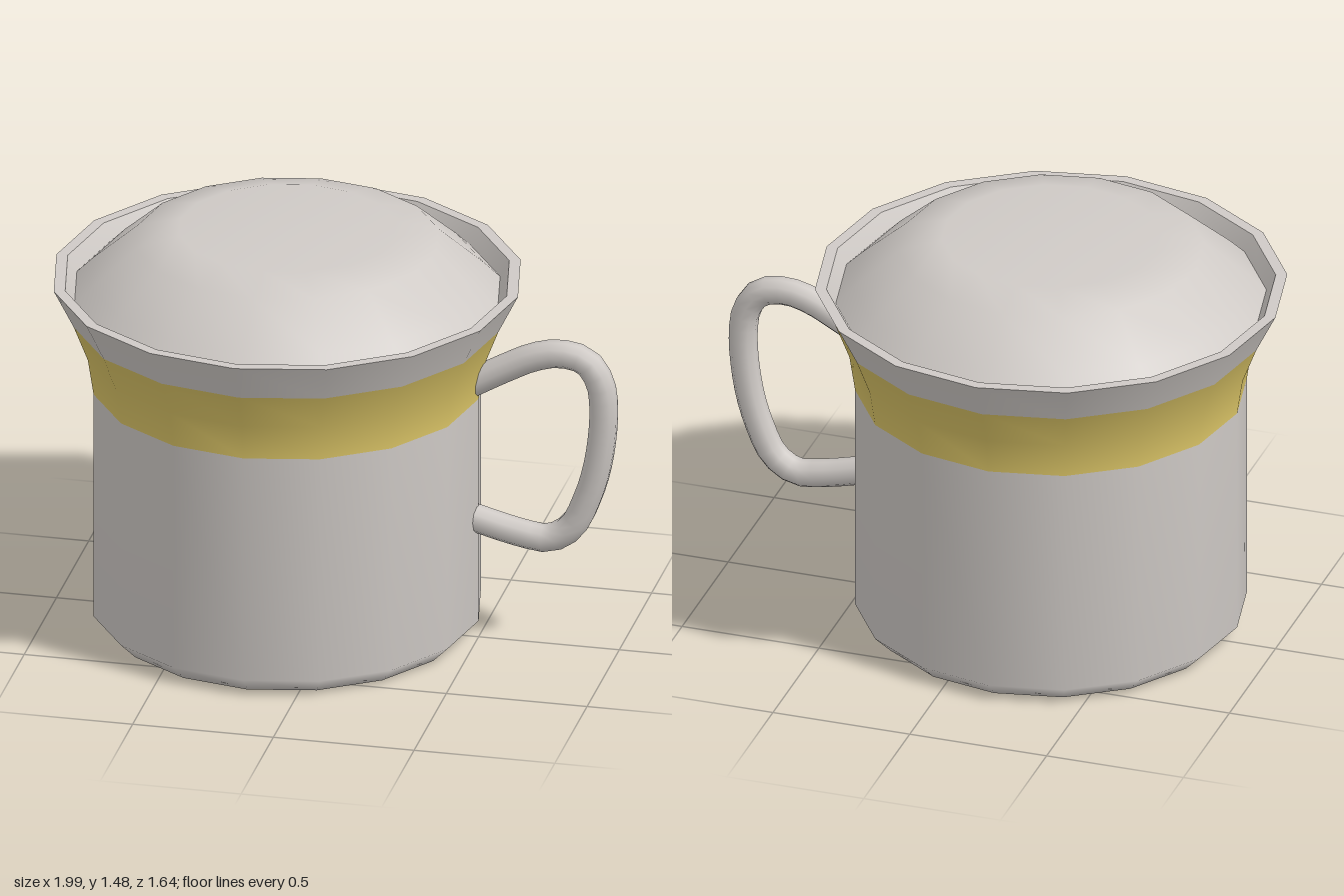
import * as THREE from 'three';

const SIDES = 16;
const CENTRE_X = -0.18; // axis of the pot; the handle fills the rest of +x

function lathe(profile) {
  const geometry = new THREE.LatheGeometry(profile.map(([r, y]) => new THREE.Vector2(r, y)), SIDES);
  geometry.normalizeNormals();
  return geometry;
}

// Keep only the rings between profile points first and last, with the shared smooth normals.
function rings(geometry, count, first, last) {
  const part = geometry.clone();
  const index = [];
  const source = geometry.index.array;
  for (let i = 0; i < source.length; i += 6) {
    const ring = (i / 6) % (count - 1);
    if (ring >= first && ring < last) index.push(...source.slice(i, i + 6));
  }
  part.setIndex(index);
  return part;
}

export function createModel() {
  const group = new THREE.Group();
  const enamel = new THREE.MeshStandardMaterial({ name: 'warm grey enamel', color: 0xcfcac6 });
  const yellow = new THREE.MeshStandardMaterial({ name: 'yellow band', color: 0xd8c265 });

  const add = (name, geometry, material, x = 0) => {
    const mesh = new THREE.Mesh(geometry, material);
    mesh.name = name;
    mesh.position.x = x;
    group.add(mesh);
  };

  // Pot: chamfered base, straight wall, flared collar, flat rim and inner wall
  const profile = [
    [0, 0], [0.62, 0], [0.68, 0.06], [0.68, 0.9],
    [0.7, 1.03], [0.75, 1.16], [0.82, 1.3],
    [0.82, 1.3], [0.78, 1.3], // repeated points keep the rim edges sharp
    [0.78, 1.3], [0.735, 1.22], [0.68, 1.1],
  ];
  const pot = lathe(profile);
  add('body', rings(pot, profile.length, 0, 3), enamel, CENTRE_X);
  add('collarBand', rings(pot, profile.length, 3, 5), yellow, CENTRE_X);
  add('rim', rings(pot, profile.length, 5, profile.length - 1), enamel, CENTRE_X);

  // Domed lid sitting inside the rim
  const lid = lathe([[0.755, 1.235], [0.69, 1.3], [0.53, 1.44], [0.38, 1.48], [0, 1.48]]);
  add('lid', lid, enamel, CENTRE_X);

  // Looped handle, its ends sunk into the wall
  const path = new THREE.CatmullRomCurve3([
    [0.46, 0.95], [0.6, 1.03], [0.7, 1.08], [0.79, 1.1], [0.88, 1.08], [0.93, 1.01],
    [0.945, 0.9], [0.925, 0.7], [0.885, 0.56], [0.83, 0.45], [0.75, 0.4], [0.65, 0.41], [0.45, 0.46],
  ].map(([x, y]) => new THREE.Vector3(x, y, 0)));
  add('handle', new THREE.TubeGeometry(path, 32, 0.05, 10, false), enamel);

  return group;
}
